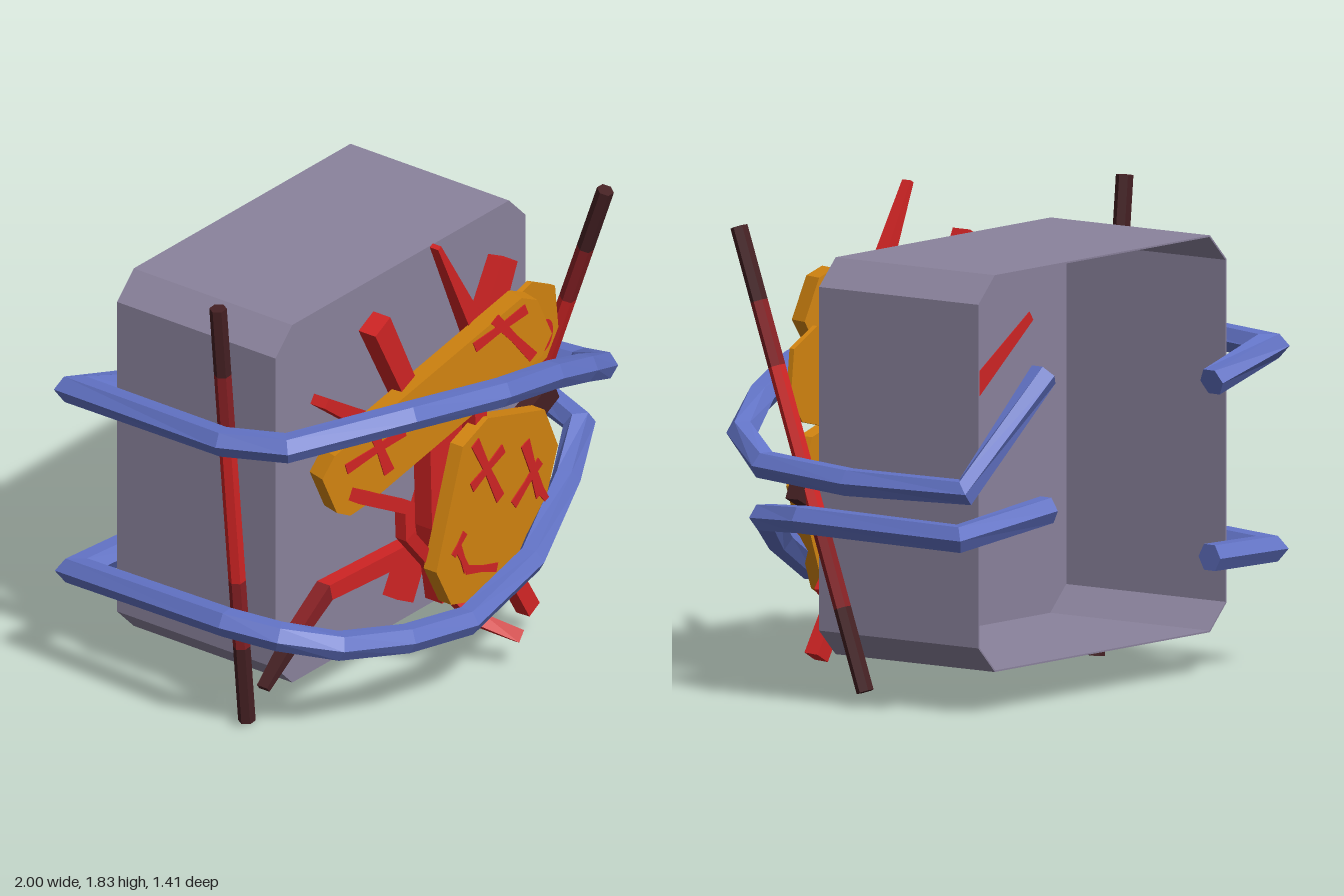
import * as THREE from 'three';

const mat = (name, color, side = THREE.FrontSide) => {
  const m = new THREE.MeshStandardMaterial({ color, side });
  m.name = name;
  return m;
};

export function createModel() {
  const model = new THREE.Group();
  const stone = mat('greyViolet', 0x8b839d, THREE.DoubleSide);
  const blue = mat('blue', 0x6273c6);
  const orange = mat('orange', 0xd28410);
  const red = mat('red', 0xd02424);
  const deep = mat('deepRed', 0x872024);
  const dark = mat('darkMaroon', 0x452023);
  const Y = new THREE.Vector3(0, 1, 0), Z = new THREE.Vector3(0, 0, 1);

  const add = (name, geo, material, parent = model) => {
    const mesh = new THREE.Mesh(geo, material);
    mesh.name = name;
    parent.add(mesh);
    return mesh;
  };

  // Flat-shaded mitred bar along points [x, y, z, halfWidth]; depth is measured along ref
  function bar(name, pts, { ref = Z, depth = null, sides = 4, mats = [red] }) {
    const P = pts.map(p => new THREE.Vector3(p[0], p[1], p[2]));
    const n = P.length, pos = [];
    const rings = P.map((p, i) => {
      const a = P[Math.max(i - 1, 0)], b = P[Math.min(i + 1, n - 1)];
      const d1 = (i ? p.clone().sub(a) : b.clone().sub(p)).normalize();
      const d2 = (i < n - 1 ? b.clone().sub(p) : d1.clone()).normalize();
      const t = d1.clone().add(d2).normalize();
      const u = ref.clone().addScaledVector(t, -ref.dot(t)).normalize();
      const v = t.clone().cross(u);
      const w = pts[i][3], k = sides === 4 ? Math.SQRT2 : 1;
      const ru = (depth === null ? w : Math.min(depth, w * 2)) * k;
      const rv = w * k / Math.max(0.6, t.dot(d1));
      return Array.from({ length: sides }, (_, j) => {
        const ang = (j + 0.5) / sides * Math.PI * 2;
        return p.clone().addScaledVector(u, ru * Math.cos(ang)).addScaledVector(v, rv * Math.sin(ang));
      });
    });
    const tri = (...vs) => vs.forEach(q => pos.push(q.x, q.y, q.z));
    const geo = new THREE.BufferGeometry();
    for (let i = 0; i < n - 1; i++) {
      const start = pos.length / 3;
      for (let j = 0; j < sides; j++) {
        const k = (j + 1) % sides, A = rings[i], B = rings[i + 1];
        tri(A[j], A[k], B[k]);
        tri(A[j], B[k], B[j]);
        if (i === 0) tri(P[0], A[k], A[j]);
        if (i === n - 2) tri(P[n - 1], B[j], B[k]);
      }
      geo.addGroup(start, pos.length / 3 - start, Math.min(i, mats.length - 1));
    }
    geo.setAttribute('position', new THREE.Float32BufferAttribute(pos, 3));
    geo.computeVertexNormals();
    return add(name, geo, mats);
  }

  const shapeOf = pts => new THREE.Shape(pts.map(p => new THREE.Vector2(p[0], p[1])));
  const extrude = (shape, depth) => new THREE.ExtrudeGeometry(shape, { depth, bevelEnabled: false });

  // Chamfered block: thin walls, closed front, open back
  const octagon = (o) => {
    const x = 0.75 - o, y = 0.745 - o, c = 0.1 - o * 0.5;
    return [[x - c, -y], [x, -y + c], [x, y - c], [x - c, y], [-x + c, y], [-x, y - c], [-x, -y + c], [-x + c, -y]];
  };
  const block = new THREE.Group();
  block.name = 'block';
  block.position.set(0, 0.91, -0.56);
  const wall = shapeOf(octagon(0));
  wall.holes.push(shapeOf(octagon(0.006)));
  add('blockWalls', extrude(wall, 0.75), stone, block);
  add('blockFront', new THREE.ShapeGeometry(shapeOf(octagon(0))), stone, block).position.z = 0.75;
  model.add(block);

  // Two blue bands wrapped around the block
  const w = 0.056;
  const band = (name, pts) => bar(name, pts.map(p => [...p, w]), { ref: Y, sides: 6, mats: [blue] });
  band('upperBand', [[-0.57, 1.12, -0.63], [-0.89, 1.22, -0.65], [-0.95, 1.26, 0.1], [-0.86, 1.27, 0.33],
    [-0.42, 1.3, 0.56], [0.02, 1.25, 0.645], [0.36, 1.18, 0.62], [0.62, 1.09, 0.57], [0.83, 0.99, 0.49],
    [0.94, 0.9, 0.3], [0.94, 0.87, -0.1], [0.88, 0.87, -0.6], [0.47, 1.27, -0.65]]);
  band('lowerBand', [[-0.57, 0.46, -0.62], [-0.88, 0.46, -0.65], [-0.93, 0.5, 0.1], [-0.87, 0.48, 0.3],
    [-0.7, 0.42, 0.45], [-0.42, 0.37, 0.55], [-0.12, 0.34, 0.6], [0.3, 0.42, 0.57], [0.65, 0.58, 0.46],
    [0.87, 0.69, 0.35], [0.94, 0.71, 0.12], [0.92, 0.7, -0.6], [0.45, 0.76, -0.65]]);

  // Two upright rods, dark at the ends and red in the middle
  const rod = (name, a, b) => {
    const pts = [0, 0.16, 0.3, 0.66, 0.82, 1].map(t => [...a.map((q, i) => q + (b[i] - q) * t), 0.033]);
    bar(name, pts, { sides: 6, mats: [dark, deep, red, deep, dark] });
  };
  rod('rightRod', [-0.93, 1.795, 0.06], [-0.757, 0.01, 0.06]);
  rod('leftRod', [0.785, 1.755, 0.54], [0.805, 0.065, -0.07]);

  // Red bars lying against the front
  const z1 = 0.223;
  bar('crossBarA', [[0.57, 1.46, z1, 0.05], [0.48, 1.28, z1, 0.06], [0.2, 0.81, z1, 0.045], [0.04, 0.48, z1, 0.05],
    [-0.06, 0.29, z1, 0.055]], { depth: 0.036 });
  bar('crossBarB', [[0.64, 0.36, z1, 0.07], [0.52, 0.49, z1, 0.085], [0.2, 0.81, z1, 0.045],
    [-0.1, 1.0, z1, 0.045], [-0.53, 1.3, z1, 0.02]], { depth: 0.036 });
  bar('rootBar', [[0.85, 0.81, 0.226, 0.045], [0.7, 0.74, 0.226, 0.05], [0.5, 0.65, 0.226, 0.05], [0.1, 0.47, 0.226, 0.04],
    [-0.5, 0.5, 0.226, 0.033], [-0.69, 0.38, 0.226, 0.025], [-0.87, 0.24, 0.226, 0.012]],
    { depth: 0.03, mats: [dark, deep, red, red, deep, dark] });
  bar('thickBar', [[-0.385, 1.61, 0.37, 0.05], [-0.2, 1.25, 0.37, 0.042], [-0.07, 0.98, 0.37, 0.03],
    [-0.06, 0.65, 0.37, 0.03], [0, 0.32, 0.37, 0.03]], { depth: 0.04 });
  bar('longBar', [[-0.095, 1.835, 0.43, 0.01], [0.13, 1.41, 0.43, 0.04], [0.14, 1.0, 0.43, 0.035],
    [0.3, 0.4, 0.41, 0.035], [0.46, 0.11, 0.43, 0.035]], { depth: 0.032 });
  bar('crookedBar', [[-0.56, 0.98, 0.42, 0.025], [-0.27, 0.82, 0.42, 0.025], [-0.265, 0.7, 0.42, 0.025],
    [-0.1, 0.52, 0.4, 0.025], [0.03, 0.35, 0.39, 0.025], [0.1, 0.22, 0.46, 0.025], [0.22, 0.135, 0.58, 0.025]],
    { depth: 0.025 });

  // Orange boards with painted strokes; each stroke is [x0, y0, x1, y1, halfWidth]
  function board(name, pts, [cx, cy, cz], depth, yaw, strokes, rings = []) {
    const g = new THREE.Group();
    g.name = name;
    g.position.set(cx, cy, cz);
    g.rotation.y = yaw;
    const loc = (x, y) => [(x - cx) / Math.cos(yaw), y - cy];
    add(name + 'Panel', extrude(shapeOf(pts.map(p => loc(...p))), depth), orange, g);
    const paint = shape => { add(name + 'Paint', extrude(shape, 0.006), red, g).position.z = depth - 0.001; };
    for (const [x0, y0, x1, y1, h] of strokes) {
      const [ax, ay] = loc(x0, y0), [bx, by] = loc(x1, y1);
      const l = Math.hypot(bx - ax, by - ay), nx = -(by - ay) / l * h, ny = (bx - ax) / l * h;
      const mx = (ax + bx) / 2, my = (ay + by) / 2;
      paint(shapeOf([[ax - nx, ay - ny], [mx - nx * 0.7, my - ny * 0.7], [bx - nx, by - ny],
        [bx + nx, by + ny], [mx + nx * 0.7, my + ny * 0.7], [ax + nx, ay + ny]]));
    }
    for (const [x, y] of rings) {
      const [lx, ly] = loc(x, y);
      const s = new THREE.Shape().absellipse(lx, ly, 0.05, 0.065, 0, Math.PI * 2, false, -0.3);
      s.holes.push(new THREE.Path().absellipse(lx, ly, 0.02, 0.035, 0, Math.PI * 2, true, -0.3));
      paint(s);
    }
    model.add(g);
  }
  board('plank', [[-0.51, 0.87], [-0.42, 0.9], [0.34, 1.27], [0.385, 1.35], [0.32, 1.51], [0.25, 1.54], [-0.58, 1.14],
    [-0.635, 1.06], [-0.57, 0.9]], [-0.13, 1.2, 0.4], 0.08, -0.27,
    [[-0.42, 1.22, -0.34, 1.0, 0.024], [-0.53, 1.07, -0.27, 1.15, 0.022],
      [0.04, 1.4, 0.27, 1.49, 0.022], [0.13, 1.49, 0.3, 1.28, 0.022]]);
  board('largePanel', [[0.25, 0.26], [0.42, 0.36], [0.57, 0.76], [0.49, 0.94], [0.15, 1.04], [0, 0.98], [-0.16, 0.52],
    [-0.07, 0.35]], [0.2, 0.65, 0.425], 0.06, 0,
    [[0.07, 0.97, 0.22, 0.68, 0.024], [0.05, 0.79, 0.24, 0.88, 0.022], [0.37, 0.85, 0.46, 0.6, 0.026],
      [0.3, 0.62, 0.46, 0.74, 0.022], [0.46, 0.62, 0.53, 0.52, 0.018],
      [-0.06, 0.55, 0.01, 0.62, 0.015], [-0.03, 0.57, 0.02, 0.46, 0.018], [0.02, 0.46, 0.2, 0.4, 0.018]]);
  board('smallPanel', [[0.52, 0.99], [0.69, 1.03], [0.76, 1.13], [0.74, 1.31], [0.6, 1.38], [0.43, 1.33], [0.37, 1.2],
    [0.4, 1.08]], [0.57, 1.19, 0.315], 0.022, 0,
    [[0.49, 1.15, 0.52, 1.09, 0.014], [0.52, 1.09, 0.58, 1.1, 0.014]], [[0.55, 1.25], [0.67, 1.13]]);

  return model;
}
